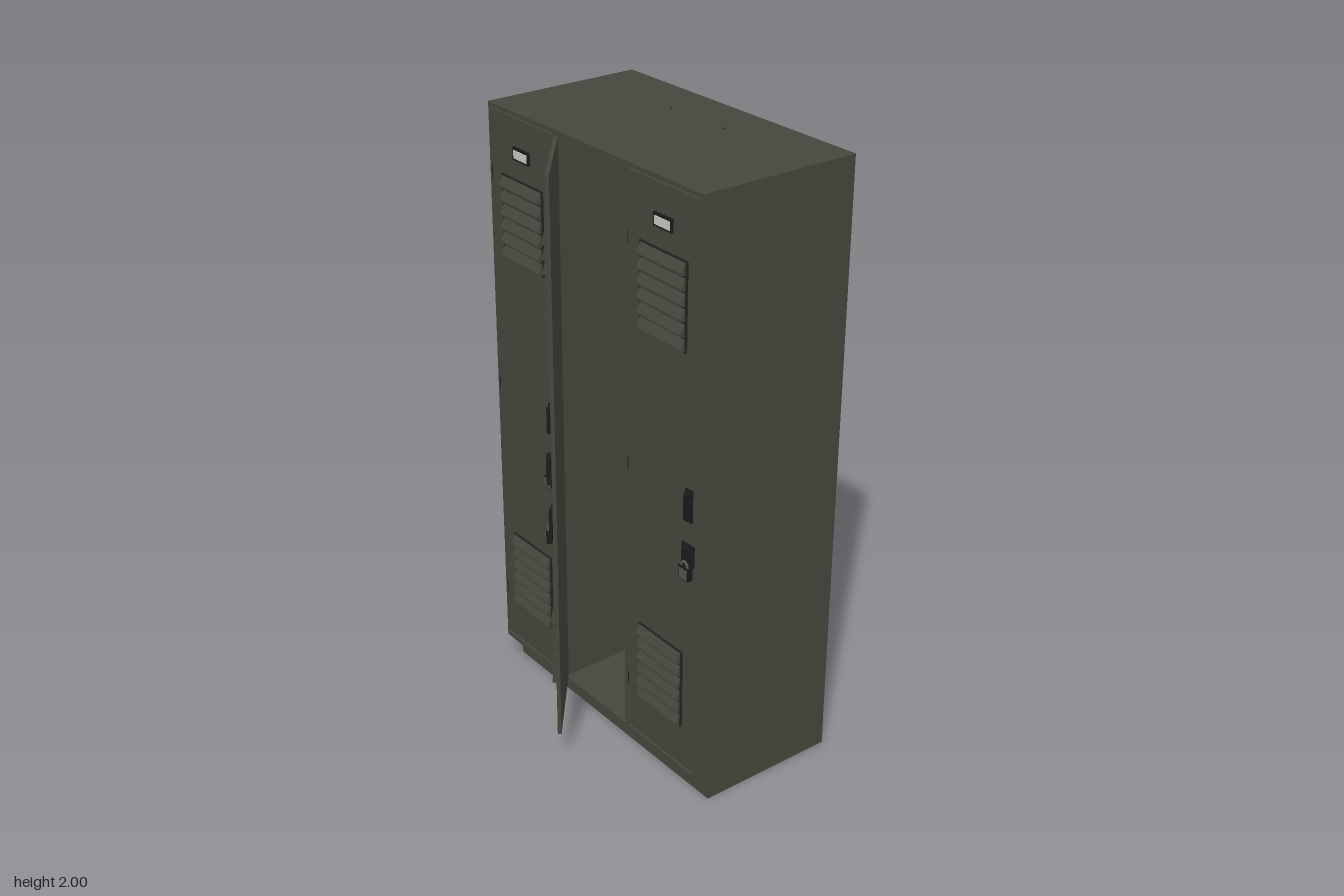
import * as THREE from 'three';

const mat = (name, color) => {
  const m = new THREE.MeshStandardMaterial({ color });
  m.name = name;
  return m;
};

export function createModel() {
  const paint = mat('olive grey paint', 0x45463c);
  const dark = mat('dark gap', 0x23241f);
  const black = mat('black plastic', 0x1b1c1c);
  const lockGrey = mat('lock grey', 0x55564f);
  const label = mat('label card', 0xc9c9c0);
  const lining = mat('back lining', 0x6b6e7a);

  const root = new THREE.Group();
  root.name = 'lockerBank';

  const add = (parent, name, geometry, material, x = 0, y = 0, z = 0) => {
    const mesh = new THREE.Mesh(geometry, material);
    mesh.name = name;
    mesh.position.set(x, y, z);
    parent.add(mesh);
    return mesh;
  };
  // Box given by its minimum and maximum corners
  const box = (parent, name, material, a, b) =>
    add(parent, name, new THREE.BoxGeometry(b[0] - a[0], b[1] - a[1], b[2] - a[2]), material,
      (a[0] + b[0]) / 2, (a[1] + b[1]) / 2, (a[2] + b[2]) / 2);
  const group = (parent, name) => {
    const g = new THREE.Group();
    g.name = name;
    parent.add(g);
    return g;
  };

  // Wedge-shaped louver, running along x
  const slat = new THREE.Shape([
    new THREE.Vector2(0, 0), new THREE.Vector2(0.015, 0.004),
    new THREE.Vector2(0.015, 0.01), new THREE.Vector2(0.002, 0.038), new THREE.Vector2(0, 0.038),
  ]);
  const slatGeo = new THREE.ExtrudeGeometry(slat, { depth: 0.2, bevelEnabled: false });
  slatGeo.translate(0, 0, -0.1).rotateY(-Math.PI / 2);

  // Door with its hinge line at local x = 0 and its face at local z = 0
  const W = 0.328;
  function makeDoor(parent, name) {
    const door = group(parent, name);
    box(door, 'doorPanel', paint, [0, 0.12, -0.012], [W, 1.98, 0]);
    const mid = W / 2;

    // Louvered vents
    for (const y0 of [0.265, 1.52]) {
      const vent = group(door, 'vent');
      box(vent, 'ventBacking', dark, [mid - 0.106, y0, 0], [mid + 0.106, y0 + 0.272, 0.005]);
      for (let i = 0; i < 6; i++) add(vent, 'louver', slatGeo, paint, mid, y0 + 0.004 + i * 0.045, 0.004);
    }

    // Label holder
    box(door, 'labelFrame', black, [mid - 0.041, 1.852, 0], [mid + 0.041, 1.893, 0.006]);
    box(door, 'labelCard', label, [mid - 0.033, 1.859, 0.005], [mid + 0.033, 1.884, 0.009]);

    // Pull handle
    const hx = W - 0.036;
    box(door, 'handlePlate', black, [hx - 0.015, 1.0, 0], [hx + 0.015, 1.105, 0.006]);
    box(door, 'handleGrip', black, [hx - 0.008, 1.008, 0.005], [hx + 0.012, 1.097, 0.018]);

    // Hasp and padlock
    box(door, 'haspPlate', black, [hx - 0.026, 0.855, 0], [hx + 0.026, 0.925, 0.008]);
    box(door, 'haspTongue', black, [hx - 0.016, 0.845, 0.007], [hx + 0.018, 0.915, 0.014]);
    const shackle = add(door, 'padlockShackle', new THREE.TorusGeometry(0.014, 0.004, 8, 16, Math.PI),
      lockGrey, hx, 0.852, 0.016);
    shackle.scale.y = 1.3;
    box(door, 'padlockBody', black, [hx - 0.022, 0.812, 0.004], [hx + 0.022, 0.855, 0.022]);
    box(door, 'padlockFace', lockGrey, [hx - 0.018, 0.816, 0.021], [hx + 0.018, 0.848, 0.024]);

    // Hinge barrels
    for (const y of [0.3, 1.07, 1.78])
      add(door, 'hinge', new THREE.CylinderGeometry(0.004, 0.004, 0.045, 8), black, 0, y, -0.002);
    return door;
  }

  // Plinth
  box(root, 'plinth', paint, [-0.51, 0, -0.38], [0.51, 0.1, 0.1]);

  // Three open-fronted cabinets
  const names = ['right', 'middle', 'left'];
  for (let i = 0; i < 3; i++) {
    const cx = (i - 1) * 0.34;
    const h = 0.169, t = 0.006;
    const cab = group(root, names[i] + 'Locker');
    cab.position.x = cx;
    for (const s of [-1, 1])
      add(cab, 'sideWall', new THREE.BoxGeometry(t, 1.9, 0.54), paint, s * (h - t / 2), 1.05, -0.11);
    box(cab, 'roof', paint, [-h + t, 1.986, -0.38], [h - t, 2, 0.16]);
    box(cab, 'floor', paint, [-h + t, 0.1, -0.38], [h - t, 0.116, 0.16]);
    box(cab, 'backPanel', paint, [-h + t, 0.116, -0.38], [h - t, 1.986, -0.372]);
    box(cab, 'backLining', lining, [-h + t, 0.116, -0.372], [h - t, 1.986, -0.368]);

    // Hanging shelf
    box(cab, 'shelf', paint, [-h + t, 1.268, -0.368], [h - t, 1.284, -0.15]);
    if (i === 1)
      for (const s of [-1, 1])
        add(cab, 'shelfRod', new THREE.CylinderGeometry(0.003, 0.003, 0.724, 8), black, s * 0.12, 1.64, -0.23);

    const door = makeDoor(cab, names[i] + 'Door');
    door.position.set(-W / 2, 0, 0.157);
    if (i === 1) {
      door.position.set(-0.166, 0, 0.162);
      door.rotation.y = -THREE.MathUtils.degToRad(39.5);
    }
  }

  // Dark seams between the cabinets
  for (const x of [-0.17, 0.17])
    box(root, 'seam', dark, [x - 0.001, 0.1, -0.379], [x + 0.001, 1.998, 0.158]);

  // Round bag on the middle floor
  const bagProfile = [[0, 0.116], [0.09, 0.118], [0.145, 0.187], [0.09, 0.267], [0, 0.28]]
    .map(([r, y]) => new THREE.Vector2(r, y));
  add(root, 'bag', new THREE.LatheGeometry(bagProfile, 16), black, 0, 0, -0.17);

  return root;
}
